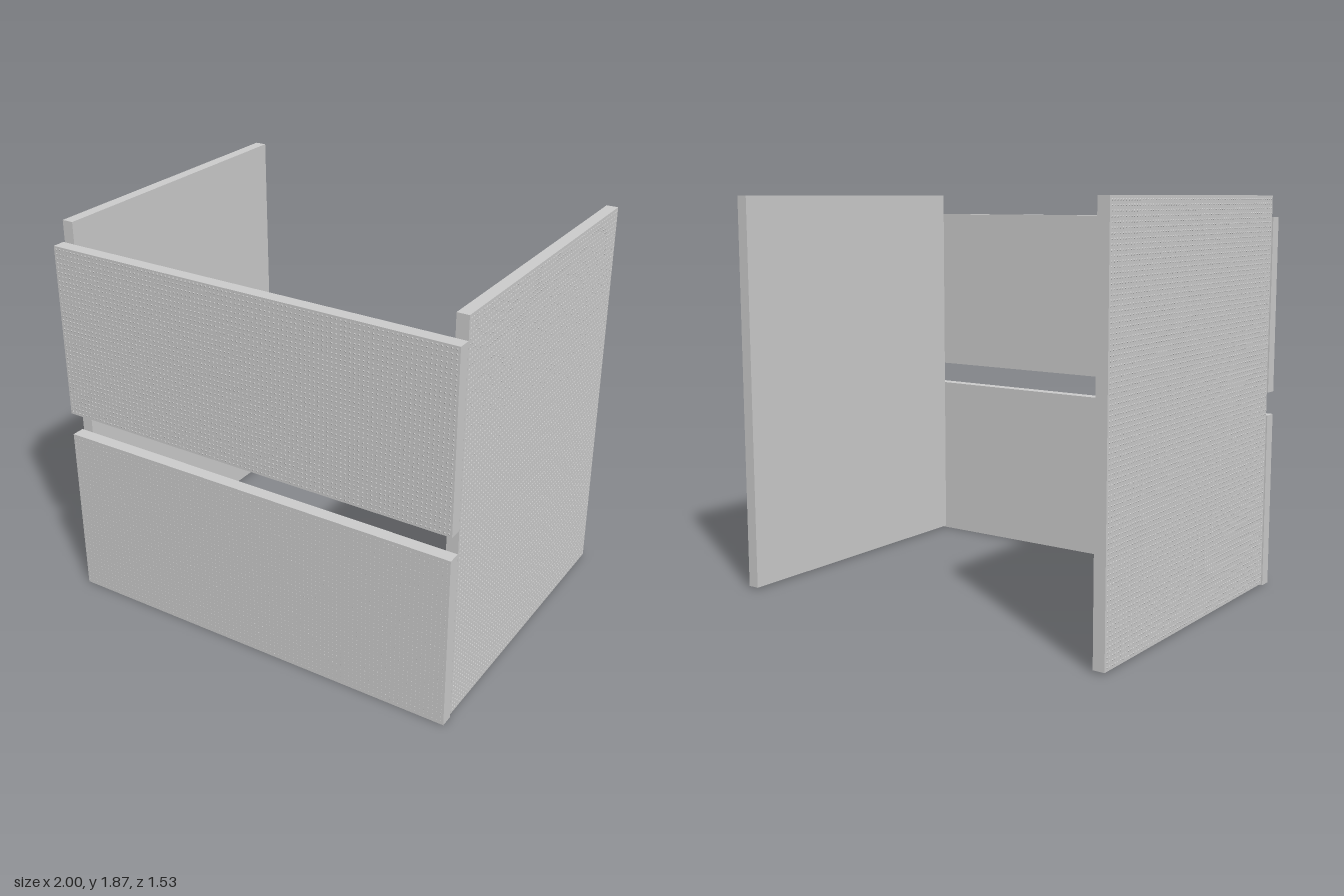
import * as THREE from 'three';

const material = new THREE.MeshStandardMaterial({ color: 0xcccccc, flatShading: true });
const PITCH = 0.021;

// Grid of tiny four-sided studs rising from the plane z = 0
function studGrid(w, h, radius, height) {
  const nx = Math.floor(w / PITCH), ny = Math.floor(h / PITCH);
  const pos = [];
  for (let i = 0; i < nx; i++) {
    for (let j = 0; j < ny; j++) {
      const x = (i - (nx - 1) / 2) * PITCH, y = (j - (ny - 1) / 2) * PITCH;
      const corners = [[-1, -1], [1, -1], [1, 1], [-1, 1]].map(([a, b]) => [x + a * radius, y + b * radius, 0]);
      for (let k = 0; k < 4; k++) pos.push(...corners[k], ...corners[(k + 1) % 4], x, y, height);
    }
  }
  const g = new THREE.BufferGeometry();
  g.setAttribute('position', new THREE.Float32BufferAttribute(pos, 3));
  g.computeVertexNormals();
  return g;
}

// Slab whose textured outer side faces local +z; studs end at depth t / 2
function panel(name, w, h, t, radius, height) {
  const group = new THREE.Group();
  group.name = name;
  const slab = new THREE.Mesh(new THREE.BoxGeometry(w, h, t - height), material);
  slab.name = name + 'Slab';
  slab.position.z = -height / 2;
  const studs = new THREE.Mesh(studGrid(w, h, radius, height), material);
  studs.name = name + 'Studs';
  studs.position.z = t / 2 - height;
  group.add(slab, studs);
  return group;
}

export function createModel() {
  const model = new THREE.Group();
  model.name = 'panelEnclosure';

  // Two front panels with a gap between them
  const lower = panel('lowerFrontPanel', 2, 0.835, 0.063, 0.0015, 0.002);
  lower.position.set(0, 0.4175, 0.7335);
  const upper = panel('upperFrontPanel', 2, 0.825, 0.063, 0.004, 0.003);
  upper.position.set(0, 1.3575, 0.7335);
  model.add(lower, upper);

  // Mirrored side panels, studs facing outwards
  for (const [name, s] of [['leftSidePanel', 1], ['rightSidePanel', -1]]) {
    const side = panel(name, 1.46, 1.86, 0.058, 0.004, 0.003);
    side.rotation.y = s * Math.PI / 2;
    side.position.set(s * 0.971, 0.94, -0.035);
    model.add(side);
  }
  return model;
}
